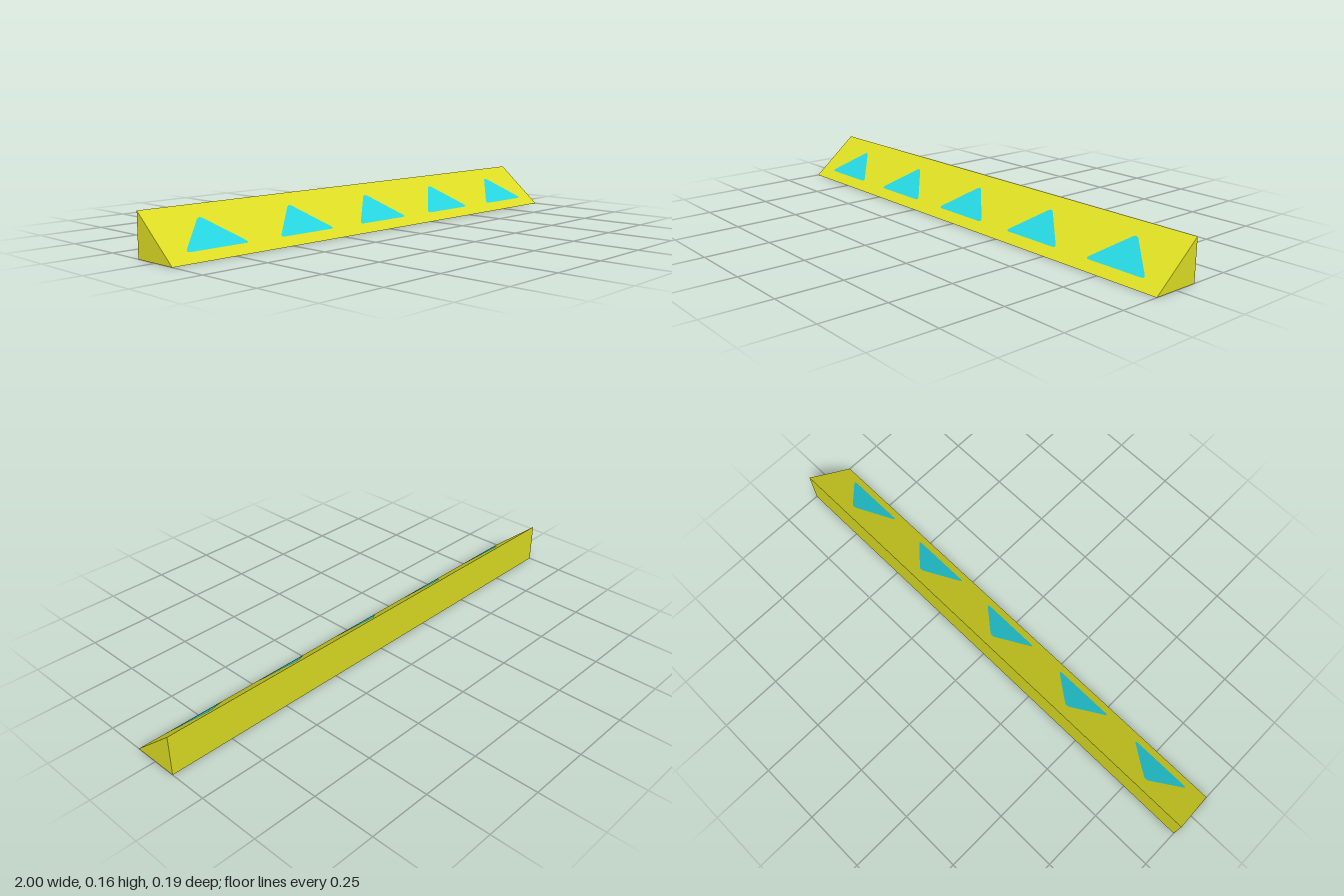
import * as THREE from 'three';

const HALF_DEPTH = 0.094, HEIGHT = 0.159, LENGTH = 2;

// Triangle outline with softly rounded corners
function roundedTriangle(points, cut) {
  const shape = new THREE.Shape();
  points.forEach((p, i) => {
    const prev = points[(i + 2) % 3], next = points[(i + 1) % 3];
    const a = p.clone().add(prev.clone().sub(p).setLength(cut));
    const b = p.clone().add(next.clone().sub(p).setLength(cut));
    if (i === 0) shape.moveTo(a.x, a.y);
    else shape.lineTo(a.x, a.y);
    shape.quadraticCurveTo(p.x, p.y, b.x, b.y);
  });
  shape.closePath();
  return shape;
}

export function createModel() {
  const model = new THREE.Group();
  model.name = 'wedgeBar';

  const yellow = new THREE.MeshStandardMaterial({ color: 0xe0e024 });
  yellow.name = 'yellow';
  const cyan = new THREE.MeshStandardMaterial({ color: 0x26d7e3 });
  cyan.name = 'cyan';

  // Long wedge: right-triangle section, upright back, sloping front
  const section = new THREE.Shape([
    new THREE.Vector2(-HALF_DEPTH, 0),
    new THREE.Vector2(HALF_DEPTH, 0),
    new THREE.Vector2(HALF_DEPTH, HEIGHT),
  ]);
  const barGeometry = new THREE.ExtrudeGeometry(section, { depth: LENGTH, bevelEnabled: false });
  barGeometry.translate(0, 0, -LENGTH / 2).rotateY(Math.PI / 2);
  const bar = new THREE.Mesh(barGeometry, yellow);
  bar.name = 'bar';
  model.add(bar);

  // Row of arrow markers lying on the slope
  const slope = new THREE.Group();
  slope.name = 'markers';
  slope.position.z = HALF_DEPTH;
  slope.rotation.x = -Math.atan2(2 * HALF_DEPTH, HEIGHT);
  model.add(slope);

  const triangle = roundedTriangle([
    new THREE.Vector2(-0.131, 0.046),
    new THREE.Vector2(0.131, 0.046),
    new THREE.Vector2(0, 0.191),
  ], 0.02);
  const markerGeometry = new THREE.ShapeGeometry(triangle, 6);
  for (let i = -2; i <= 2; i++) {
    const marker = new THREE.Mesh(markerGeometry, cyan);
    marker.name = 'arrowMarker';
    marker.position.set(i * 0.397, 0, 0.0015);
    slope.add(marker);
  }
  return model;
}
